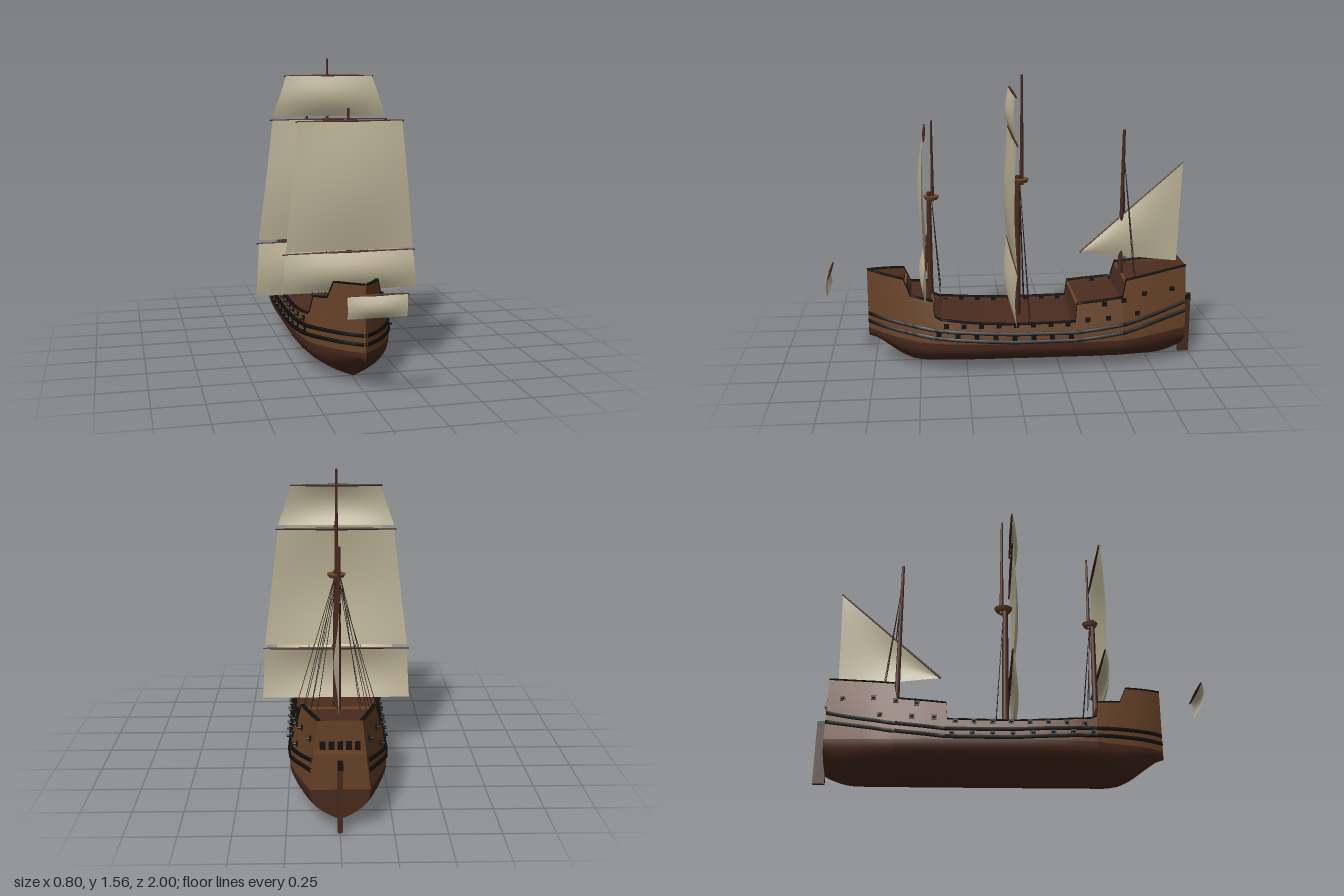
import * as THREE from 'three';

const mat = (name, color, side = THREE.FrontSide) => {
  const m = new THREE.MeshStandardMaterial({ color, side });
  m.name = name;
  return m;
};

// Piecewise linear table lookup, z descending from bow to stern
const lookup = (table) => (z) => {
  if (z >= table[0][0]) return table[0][1];
  for (let i = 1; i < table.length; i++) {
    const [z0, a] = table[i - 1], [z1, b] = table[i];
    if (z >= z1) return a + (b - a) * (z0 - z) / (z0 - z1);
  }
  return table[table.length - 1][1];
};

const BOW = 0.78, STERN = -0.94;
const sheer = lookup([[0.78, 0.53], [0.585, 0.505], [0.55, 0.42], [0.43, 0.4], [0.422, 0.32], [0.39, 0.303],
  [0.2, 0.285], [0, 0.276], [-0.325, 0.282], [-0.333, 0.375], [-0.58, 0.4], [-0.6, 0.49], [-0.94, 0.54]]);
const keel = lookup([[0.78, 0.155], [0.74, 0.142], [0.7, 0.115], [0.6, 0.04], [0.54, 0.012], [0.48, 0], [-0.8, 0], [-0.88, 0.02], [-0.94, 0.05]]);
const split = lookup([[0.78, 0.2], [0.5, 0.175], [-0.6, 0.17], [-0.94, 0.2]]);
const beam = lookup([[0.78, 0.002], [0.74, 0.04], [0.68, 0.09], [0.6, 0.138], [0.5, 0.187], [0.42, 0.216], [0.3, 0.236],
  [0.15, 0.245], [-0.45, 0.245], [-0.58, 0.238], [-0.7, 0.212], [-0.82, 0.176], [-0.94, 0.14]]);
const upperWale = lookup([[0.78, 0.284], [0.4, 0.245], [0, 0.225], [-0.33, 0.225], [-0.6, 0.258], [-0.8, 0.305], [-0.94, 0.345]]);
const lowerWale = lookup([[0.78, 0.24], [0.4, 0.205], [0, 0.182], [-0.33, 0.184], [-0.6, 0.215], [-0.94, 0.295]]);

// Half breadth: full round bottom, tumblehome above the waterline
function halfWidth(z, y) {
  const s = split(z), k = keel(z), b = beam(z);
  if (y >= s) return b * (1 - 0.8 * Math.max(0, y - 0.2));
  return b * (1 - Math.pow(1 - Math.max(0, (y - k) / (s - k)), 2.6));
}

// Stations along the hull, with extra ones at the deck steps
const stations = [0.585, 0.55, 0.43, 0.422, 0.39, -0.325, -0.333, -0.58, -0.6];
for (let i = 0; i <= 43; i++) stations.push(BOW + (STERN - BOW) * i / 43);
stations.sort((a, b) => b - a);
const N = stations.length - 1;

// Surface grid from fn(i, j) -> [x, y, z]
function grid(nu, nv, fn) {
  const pos = [], idx = [];
  for (let i = 0; i <= nu; i++) for (let j = 0; j <= nv; j++) pos.push(...fn(i, j));
  for (let i = 0; i < nu; i++) for (let j = 0; j < nv; j++) {
    const a = i * (nv + 1) + j, b = a + nv + 1;
    idx.push(a, b, a + 1, b, b + 1, a + 1);
  }
  const g = new THREE.BufferGeometry();
  g.setAttribute('position', new THREE.Float32BufferAttribute(pos, 3));
  g.setIndex(idx);
  g.computeVertexNormals();
  return g;
}

export function createModel() {
  const root = new THREE.Group();
  root.name = 'sailingShip';
  const D = THREE.DoubleSide;
  const hullMat = mat('hullBrown', 0x664127, D), bottomMat = mat('bottomBrown', 0x48291c, D);
  const deckMat = mat('deckBrown', 0x4c2c20, D), black = mat('tarBlack', 0x12100f, D);
  const mastMat = mat('mastBrown', 0x45281d), sailMat = mat('canvas', 0xbdb498, D);
  const trim = mat('trimBrown', 0x6e4528), rope = mat('rope', 0x2a201b);

  const add = (name, geo, m, x = 0, y = 0, z = 0) => {
    const mesh = new THREE.Mesh(geo, m);
    mesh.name = name;
    mesh.position.set(x, y, z);
    root.add(mesh);
    return mesh;
  };
  const rod = (name, a, b, r0, r1, m, sides = 10) => {
    const A = new THREE.Vector3(...a), d = new THREE.Vector3(...b).sub(A);
    const mesh = add(name, new THREE.CylinderGeometry(r1, r0, d.length(), sides), m);
    mesh.position.copy(A).addScaledVector(d, 0.5);
    mesh.quaternion.setFromUnitVectors(new THREE.Vector3(0, 1, 0), d.normalize());
    return mesh;
  };

  // Lower hull, both sides in one skin
  add('lowerHull', grid(N, 24, (i, j) => {
    const z = stations[i], u = j / 12 - 1, y = keel(z) + (split(z) - keel(z)) * Math.abs(u);
    return [Math.sign(u) * halfWidth(z, y), y, z];
  }), bottomMat);

  // Upper hull sides, wales and rails
  const band = (name, line, h, inner, outer, side) => add(name, grid(N, 4, (i, j) => {
    const z = stations[i], y = line(z), out = [inner, outer, outer, inner, inner][j];
    return [side * Math.max(0, halfWidth(z, y) + out), y + [-h, -h, h, h, -h][j], z];
  }), black);
  for (const s of [1, -1]) {
    add('upperHull', grid(N, 6, (i, j) => {
      const z = stations[i], y = split(z) + (sheer(z) - split(z)) * j / 6;
      return [s * halfWidth(z, y), y, z];
    }), hullMat);
    band('upperWale', upperWale, 0.009, -0.004, 0.008, s);
    band('lowerWale', lowerWale, 0.009, -0.004, 0.008, s);
    band('rail', sheer, 0.004, -0.014, 0.004, s);
  }

  // Stepped decks, bulkheads included
  add('decks', grid(N, 2, (i, j) => {
    const z = stations[i], y = sheer(z) - 0.025;
    return [(j - 1) * halfWidth(z, y), y, z];
  }), deckMat);
  for (const z of [0.575, 0.43, -0.34, -0.605]) {
    const y = sheer(z) - 0.02;
    add('deckBeam', new THREE.BoxGeometry(halfWidth(z, y) * 1.9, 0.012, 0.012), trim, 0, y, z);
  }

  // Flat transom in two colours, with stern windows and rudder
  const transom = (name, y0, y1, m) => add(name, grid(10, 2, (i, j) => {
    const y = y0 + (y1 - y0) * i / 10;
    return [(j - 1) * halfWidth(STERN, y), y, STERN];
  }), m);
  transom('lowerTransom', keel(STERN), split(STERN), bottomMat);
  transom('upperTransom', split(STERN), sheer(STERN), hullMat);
  for (let i = -2; i <= 2; i++) add('sternWindow', new THREE.BoxGeometry(0.026, 0.04, 0.008), black, i * 0.04, 0.42, STERN - 0.003);
  add('sternLedge', new THREE.BoxGeometry(0.24, 0.01, 0.014), trim, 0, 0.385, STERN - 0.004);
  add('rudder', new THREE.BoxGeometry(0.024, 0.31, 0.06), mastMat, 0, 0.165, -0.97);
  add('rudderHead', new THREE.BoxGeometry(0.026, 0.03, 0.06), black, 0, 0.33, -0.97);

  // Gun ports with short barrels
  const guns = [[-0.39, 0.29], [-0.5, 0.295], [-0.66, 0.31], [-0.48, 0.37], [-0.585, 0.385], [-0.7, 0.41], [-0.86, 0.42]];
  for (let i = 0; i < 8; i++) {
    guns.push([0.4 - i * 0.1, lowerWale(0.4 - i * 0.1) + 0.02]);
    guns.push([0.36 - i * 0.092, 0.27]);
  }
  for (const [z, y] of guns) for (const s of [1, -1]) {
    const x = s * halfWidth(z, y);
    add('gunPort', new THREE.BoxGeometry(0.012, 0.024, 0.026), black, x, y, z);
    rod('gunBarrel', [x, y, z], [x + s * 0.022, y, z], 0.008, 0.006, black, 8);
  }

  // Masts and round tops
  const top = (y, z, r) => add('mastTop', new THREE.CylinderGeometry(r, r * 0.8, 0.018, 20), trim, 0, y, z);
  rod('mainMast', [0, 0.24, -0.03], [0, 1.03, -0.035], 0.02, 0.015, mastMat);
  rod('mainTopmast', [0, 0.98, -0.055], [0, 1.565, -0.055], 0.011, 0.006, mastMat);
  top(1.005, -0.045, 0.05);
  rod('foreMast', [0, 0.36, 0.44], [0, 0.95, 0.44], 0.016, 0.012, mastMat);
  rod('foreTopmast', [0, 0.9, 0.42], [0, 1.33, 0.42], 0.009, 0.005, mastMat);
  top(0.92, 0.427, 0.042);
  rod('mizzenMast', [0, 0.45, -0.6], [0, 1.27, -0.602], 0.014, 0.008, mastMat);

  // Shrouds fanned out to both sides
  for (const [y0, z0, y1, z1] of [[0.99, -0.045, 0.27, -0.085], [0.91, 0.425, 0.38, 0.385], [1.12, -0.605, 0.48, -0.655]]) {
    const w = halfWidth(z1, y1);
    for (const s of [1, -1]) for (const f of [0.6, 0.78, 0.96])
      rod('shroud', [s * 0.01, y0, z0], [s * w * f, y1, z1], 0.0018, 0.0018, rope, 4);
  }

  // Square sails: bottom y, top y, half widths, z, belly, yard half length
  const squareSail = (name, y0, y1, w0, w1, z, belly, yard) => {
    add(name, grid(14, 14, (i, j) => {
      const u = i / 7 - 1, v = j / 14;
      const bulge = Math.sin(Math.PI * v) * (0.35 + 0.65 * Math.cos(u * Math.PI / 2));
      return [u * (w0 + (w1 - w0) * v), y0 + (y1 - y0) * v, z + belly * bulge];
    }), sailMat);
    rod(name + 'Yard', [-yard, y1, z - 0.006], [0, y1, z - 0.006], 0.004, 0.008, mastMat, 8);
    rod(name + 'Yard', [yard, y1, z - 0.006], [0, y1, z - 0.006], 0.004, 0.008, mastMat, 8);
  };
  squareSail('mainCourse', 0.305, 0.59, 0.402, 0.385, 0, 0.035, 0.397);
  squareSail('mainTopsail', 0.61, 1.245, 0.385, 0.305, 0, 0.035, 0.318);
  squareSail('mainTopgallant', 1.265, 1.475, 0.305, 0.232, 0, 0.032, 0.24);
  squareSail('foreCourse', 0.43, 0.62, 0.343, 0.325, 0.465, 0.035, 0.338);
  squareSail('foreTopsail', 0.632, 1.267, 0.323, 0.262, 0.465, 0.034, 0.27);
  squareSail('spritsail', 0.425, 0.527, 0.138, 0.14, 0.98, 0.02, 0.147);

  // Lateen sail on the mizzen with its slanted yard
  add('lateenSail', grid(12, 12, (i, j) => {
    const u = i / 12, v = j / 12;
    const z = -0.38 + u * (-0.53 - 0.015 * v), y = 0.6 + u * (-0.06 + 0.545 * v);
    return [0.005 + 0.02 * Math.sin(Math.PI * u) * Math.sin(Math.PI * v), y, z];
  }), sailMat);
  rod('lateenYard', [0, 0.598, -0.375], [0, 1.088, -0.927], 0.006, 0.004, mastMat, 8);
  return root;
}
